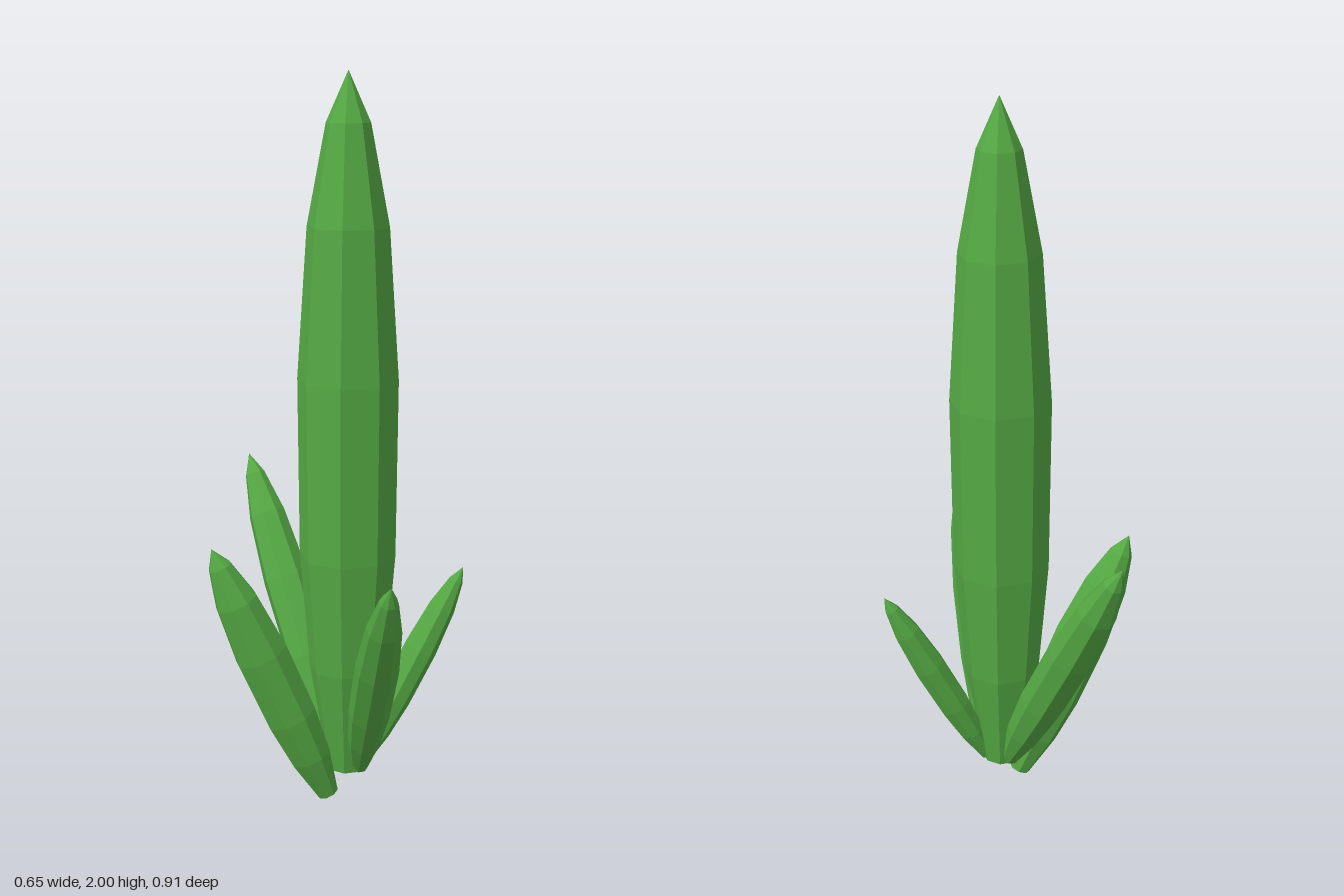
import * as THREE from 'three';

// Half outline of a stem of length 1 and greatest radius 1: [radius, height]
const OUTLINE = [
  [0, 0], [0.4, 0], [0.78, 0.16], [0.97, 0.33], [1, 0.585], [0.8, 0.795], [0.43, 0.932], [0, 1],
];

export function createModel() {
  const group = new THREE.Group();
  const green = new THREE.MeshStandardMaterial({ color: 0x55aa44, flatShading: true });
  const up = new THREE.Vector3(0, 1, 0);

  // An eight-sided tapering stem running from base to tip
  function addStem(name, base, tip, radius) {
    const start = new THREE.Vector3(...base);
    const axis = new THREE.Vector3(...tip).sub(start);
    const length = axis.length();
    const points = OUTLINE.map(([r, h]) => new THREE.Vector2(r * radius, h * length));
    const stem = new THREE.Mesh(new THREE.LatheGeometry(points, 8), green);
    stem.name = name;
    stem.position.copy(start);
    stem.quaternion.setFromUnitVectors(up, axis.normalize());
    group.add(stem);
  }

  addStem('mainStem', [0.03, 0.085, 0.025], [0.03, 2, 0.025], 0.136);

  // Side shoots leaning outward around the main stem
  addStem('backShoot', [0.03, 0.095, -0.01], [0.03, 0.9, -0.455], 0.067);
  addStem('frontShoot', [0.045, 0.095, 0.065], [-0.165, 0.785, 0.457], 0.058);
  addStem('leftShoot', [0.07, 0.095, 0.042], [0.328, 0.657, 0.167], 0.046);
  addStem('rightShoot', [-0.03, 0.014, 0.015], [-0.31, 0.757, -0.13], 0.076);

  return group;
}
